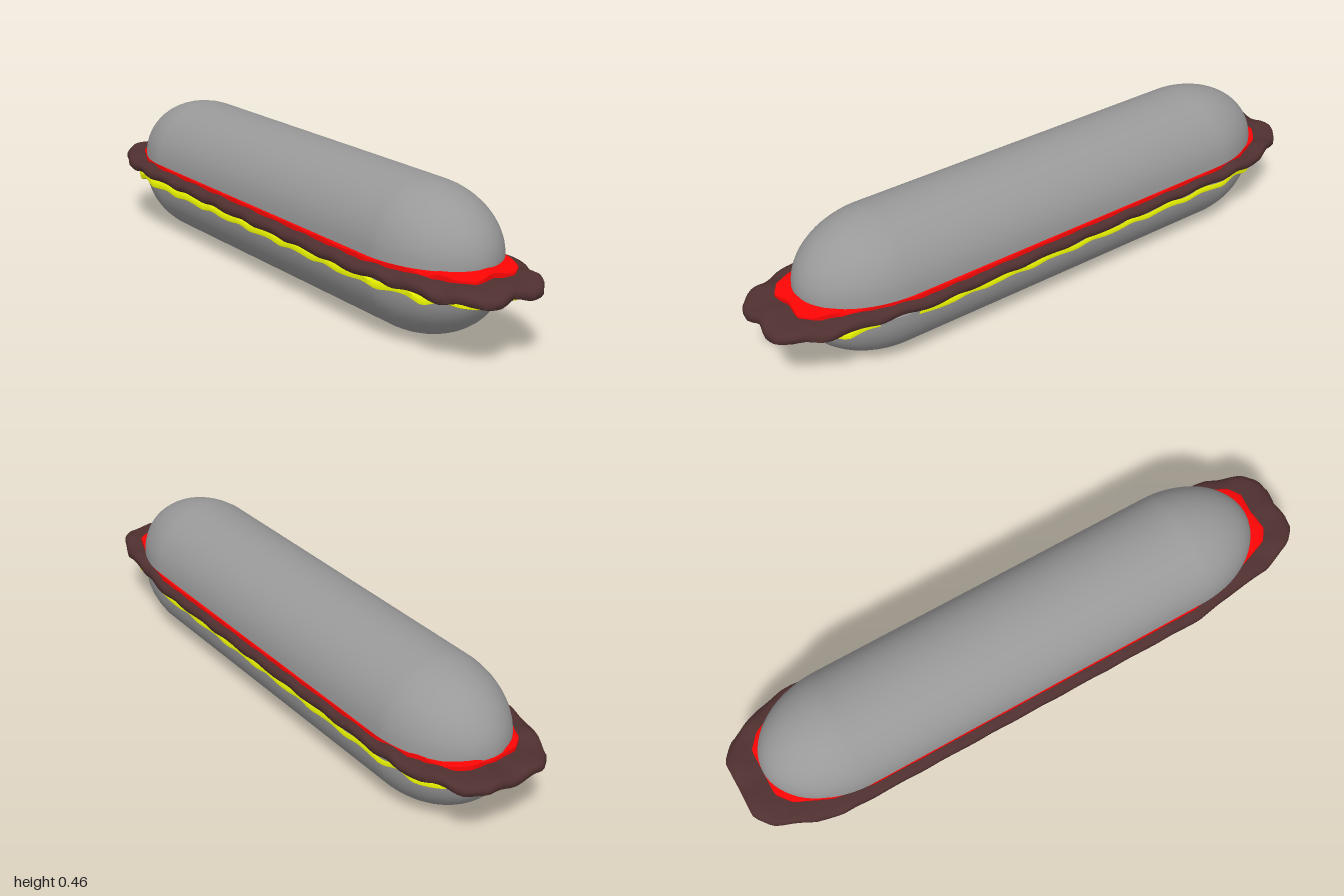
import * as THREE from 'three';
import { mergeGeometries, toCreasedNormals } from 'three/addons/utils/BufferGeometryUtils.js';

// Half of a long capsule with its axis on z; up = 1 for the upper half, -1 for the lower
function halfCapsule(up, height) {
  const g = new THREE.SphereGeometry(1, 24, 33, 0, Math.PI);
  g.rotateX(-up * Math.PI / 2);
  const p = g.attributes.position;
  for (let i = 0; i < p.count; i++) {
    const z = p.getZ(i);
    p.setXYZ(i, p.getX(i) * 0.202, p.getY(i) * height, z * 0.285 + Math.sign(z) * 0.6);
  }
  g.computeVertexNormals();
  return g;
}

// Bun: rounded half plus a flat cut face
function bun(name, up, y) {
  const cut = halfCapsule(-up, 0.0001);
  const mesh = new THREE.Mesh(
    mergeGeometries([halfCapsule(up, 0.2), cut]),
    new THREE.MeshStandardMaterial({ color: 0x999999 }));
  mesh.name = name;
  mesh.position.set(0.006, y, -0.025);
  return mesh;
}

// Wavy slab: half outline mirrored in x, rings given as [inset, height]; waves grow at the ends
function layer(name, color, half, rings, { y, amp, waves, tilt }) {
  const pts = half.map(([x, z]) => new THREE.Vector2(x, z));
  const left = half.slice(1, -1).reverse().map(([x, z]) => new THREE.Vector2(-x, z));
  const shape = new THREE.Shape([...pts, ...left, pts[0].clone()]);
  const n = 240;
  const loop = shape.getSpacedPoints(n);
  const pos = [], index = [];
  for (const [inset, h] of rings) {
    for (let i = 0; i < n; i++) {
      const { x, y: z } = loop[i];
      const fade = Math.max(0, 1 - inset / 0.1);
      const swell = 0.5 + 0.6 * THREE.MathUtils.smoothstep(Math.abs(z), 0.5, 0.8);
      const a = i / n * Math.PI * 2;
      const wave = amp * fade * swell * (Math.cos(a * waves) + 0.25 * Math.cos(a * (waves * 2 - 7)));
      pos.push(x * (1 - inset / 0.21), y + h + wave - tilt * z * fade, z * (1 - inset));
    }
  }
  for (let r = 0; r < rings.length - 1; r++) {
    for (let i = 0; i < n; i++) {
      const a = r * n + i, b = r * n + (i + 1) % n;
      index.push(a, a + n, b, b, a + n, b + n);
    }
  }
  let g = new THREE.BufferGeometry();
  g.setAttribute('position', new THREE.Float32BufferAttribute(pos, 3));
  g.setIndex(index);
  g = toCreasedNormals(g, 0.9);
  const mesh = new THREE.Mesh(g, new THREE.MeshStandardMaterial({ color, side: THREE.DoubleSide }));
  mesh.name = name;
  return mesh;
}

export function createModel() {
  const group = new THREE.Group();
  group.name = 'filledRoll';

  group.add(bun('bottomBun', -1, 0.2), bun('topBun', 1, 0.26));

  // Thin red slice under the top bun
  const red = layer('redSlice', 0xff0505,
    [[0, 0.89], [0.07, 0.9], [0.11, 0.87], [0.14, 0.79], [0.18, 0.66], [0.202, 0.55],
      [0.202, -0.62], [0.18, -0.76], [0.13, -0.87], [0.08, -0.91], [0, -0.91]],
    [[0.209, 0.012], [0.05, 0.012], [0.01, 0.01], [0, 0.004], [0, -0.01], [0.03, -0.012], [0.209, -0.012]],
    { y: 0.25, amp: 0.004, waves: 25, tilt: 0.004 });
  red.position.x = 0.006;
  group.add(red);

  // Wide meat slice with drooping edge
  group.add(layer('meatSlice', 0x503030,
    [[0, 0.985], [0.05, 0.998], [0.1, 0.99], [0.14, 0.95], [0.185, 0.84], [0.2, 0.7], [0.226, 0.55],
      [0.226, -0.75], [0.205, -0.84], [0.15, -0.96], [0.1, -1], [0, -1]],
    [[0.209, 0.012], [0.06, 0.016], [0.02, 0.016], [0.005, 0.01], [0, 0],
      [0, -0.014], [0.004, -0.018], [0.03, -0.012], [0.209, -0.012]],
    { y: 0.227, amp: 0.006, waves: 27, tilt: 0.008 }));

  // Yellow cheese slice draped over the bottom bun
  group.add(layer('cheeseSlice', 0xe6f000,
    [[0, 0.91], [0.07, 0.92], [0.12, 0.89], [0.17, 0.79], [0.195, 0.66], [0.21, 0.55],
      [0.21, -0.65], [0.19, -0.78], [0.15, -0.87], [0.09, -0.92], [0, -0.92]],
    [[0.209, 0.015], [0.04, 0.014], [0.01, 0.009], [0, 0], [0, -0.015], [0.006, -0.018],
      [0.015, -0.01], [0.209, 0.004]],
    { y: 0.196, amp: 0.007, waves: 26, tilt: 0 }));

  return group;
}
